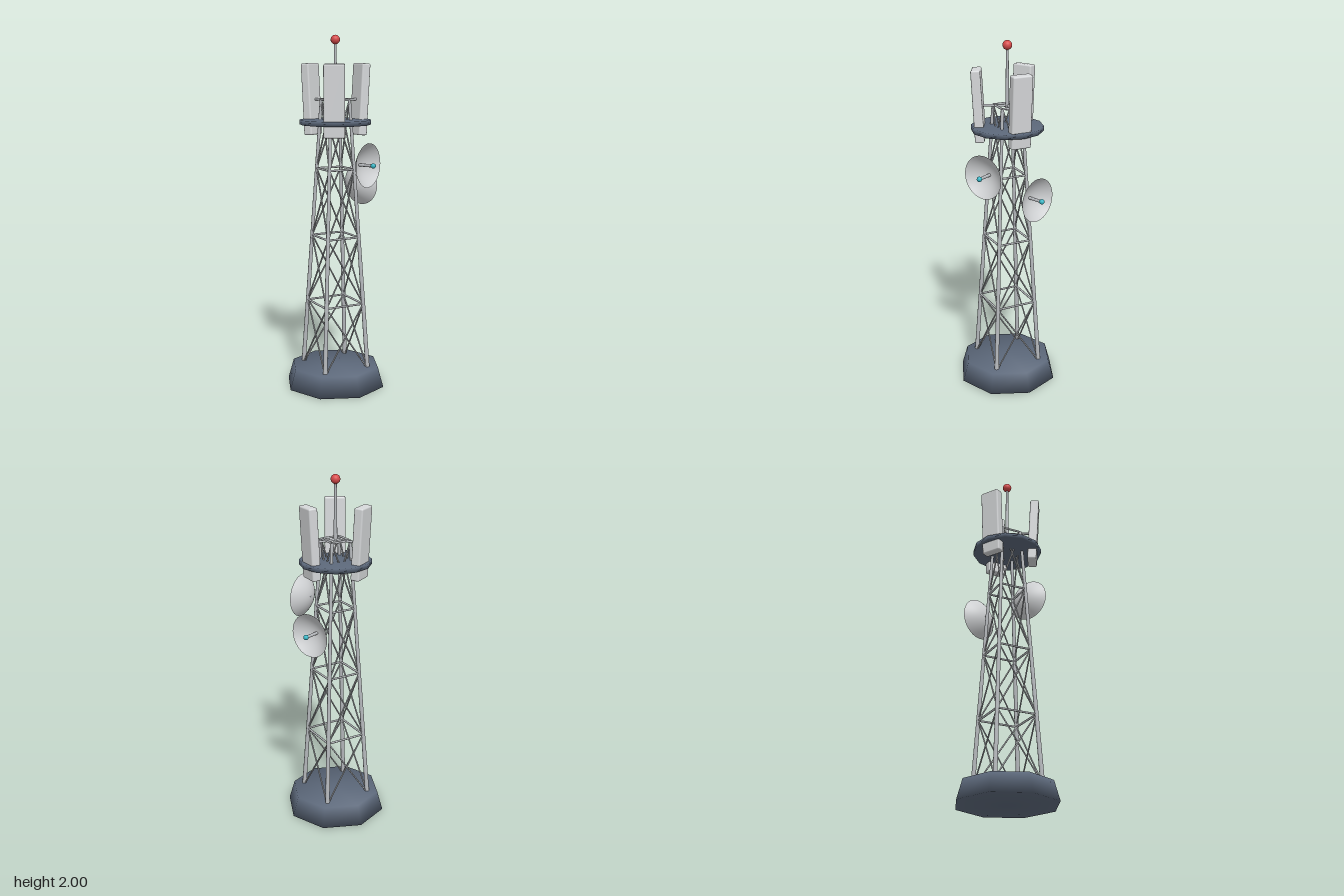
import * as THREE from 'three';
import { mergeVertices } from 'three/addons/utils/BufferGeometryUtils.js';
import { RoundedBoxGeometry } from 'three/addons/geometries/RoundedBoxGeometry.js';

const material = (name, color, extra = {}) => {
  const m = new THREE.MeshStandardMaterial({ color, ...extra });
  m.name = name;
  return m;
};
const V = (x, y, z) => new THREE.Vector3(x, y, z);

export function createModel() {
  const slate = material('slate', 0x5c687a);
  const steel = material('steel', 0xb8bbbf);
  const panelGrey = material('panel grey', 0xd6d8da);
  const dishGrey = material('dish grey', 0xd0d2d4, { side: THREE.DoubleSide });
  const red = material('beacon red', 0xd84a4a);
  const teal = material('feed teal', 0x35b5c5);

  const model = new THREE.Group();
  model.name = 'radioTower';

  const add = (parent, name, geometry, mat, x = 0, y = 0, z = 0) => {
    const mesh = new THREE.Mesh(geometry, mat);
    mesh.name = name;
    mesh.position.set(x, y, z);
    parent.add(mesh);
    return mesh;
  };
  const group = (parent, name) => {
    const g = new THREE.Group();
    g.name = name;
    parent.add(g);
    return g;
  };
  // Round bar between two points
  const bar = (parent, name, a, b, r0, r1 = r0, sides = 8) => {
    const d = b.clone().sub(a);
    const mesh = add(parent, name, new THREE.CylinderGeometry(r1, r0, d.length(), sides), steel);
    mesh.position.copy(a).add(b).multiplyScalar(0.5);
    mesh.quaternion.setFromUnitVectors(V(0, 1, 0), d.normalize());
    return mesh;
  };
  // Faceted disc whose rim and caps share normals
  const softDisc = (top, bottom, height, sides) => {
    let g = new THREE.CylinderGeometry(top, bottom, height, sides);
    g.deleteAttribute('normal');
    g.deleteAttribute('uv');
    g = mergeVertices(g);
    g.computeVertexNormals();
    return g;
  };

  // Foundation and platform
  add(model, 'base', softDisc(0.257, 0.29, 0.115, 8), slate, 0, 0.0575, 0);
  add(model, 'platform', softDisc(0.2, 0.2, 0.027, 12), slate, 0, 1.522, 0);

  // Tapered lattice: four legs, four bays of rungs and cross braces
  const lattice = group(model, 'lattice');
  const Y0 = 0.1, Y1 = 1.645, BAYS = 4;
  const corners = [[1, 1], [1, -1], [-1, -1], [-1, 1]];
  const node = (side, level) => {
    const t = level / BAYS;
    const h = THREE.MathUtils.lerp(0.138, 0.058, t);
    const [sx, sz] = corners[side % 4];
    return V(sx * h, THREE.MathUtils.lerp(Y0, Y1, t), sz * h);
  };
  for (let s = 0; s < 4; s++) {
    bar(lattice, 'leg', node(s, 0), node(s, BAYS), 0.013, 0.009);
    for (let i = 0; i < BAYS; i++) {
      bar(lattice, 'rung', node(s, i + 1), node(s + 1, i + 1), 0.006);
      bar(lattice, 'brace', node(s, i), node(s + 1, i + 1), 0.0045, 0.0045, 6);
      bar(lattice, 'brace', node(s + 1, i), node(s, i + 1), 0.0045, 0.0045, 6);
    }
  }

  // Mast with beacon
  bar(model, 'mast', V(0, 1.62, 0), V(0, 1.965, 0), 0.011, 0.007, 10);
  add(model, 'beacon', new THREE.SphereGeometry(0.026, 20, 14), red, 0, 1.974, 0);

  // Three sector antennas on radial arms, leaning outwards at the top
  for (let i = 0; i < 3; i++) {
    const sector = group(model, 'sectorAntenna');
    sector.rotation.y = (i * Math.PI * 2) / 3;
    bar(sector, 'arm', V(0, 1.645, 0), V(0.15, 1.645, 0), 0.007);
    const panel = add(sector, 'panel', new RoundedBoxGeometry(0.052, 0.4, 0.116, 2, 0.009), panelGrey, 0.158, 1.645, 0);
    panel.rotation.z = -0.055;
  }

  // Parabolic dishes: the group origin is the rim centre, facing +z
  const R = 0.123, DEPTH = 0.06;
  const profile = [];
  for (let i = 0; i <= 10; i++) {
    const t = i / 10;
    profile.push(new THREE.Vector2(R * t, DEPTH * (t * t - 1)));
  }
  const bowl = new THREE.LatheGeometry(profile, 32);
  bowl.rotateX(Math.PI / 2);
  const addDish = (x, y, z, degrees) => {
    const dish = group(model, 'dish');
    dish.position.set(x, y, z);
    dish.rotation.y = THREE.MathUtils.degToRad(degrees);
    add(dish, 'bowl', bowl, dishGrey);
    bar(dish, 'feedArm', V(0, 0, -DEPTH), V(0, 0, 0.031), 0.009);
    add(dish, 'feedHorn', new THREE.SphereGeometry(0.0145, 16, 12), teal, 0, 0, 0.031);
  };
  addDish(0.102, 1.292, 0.197, 27.5);
  addDish(0.212, 1.153, -0.08, 110);

  return model;
}
